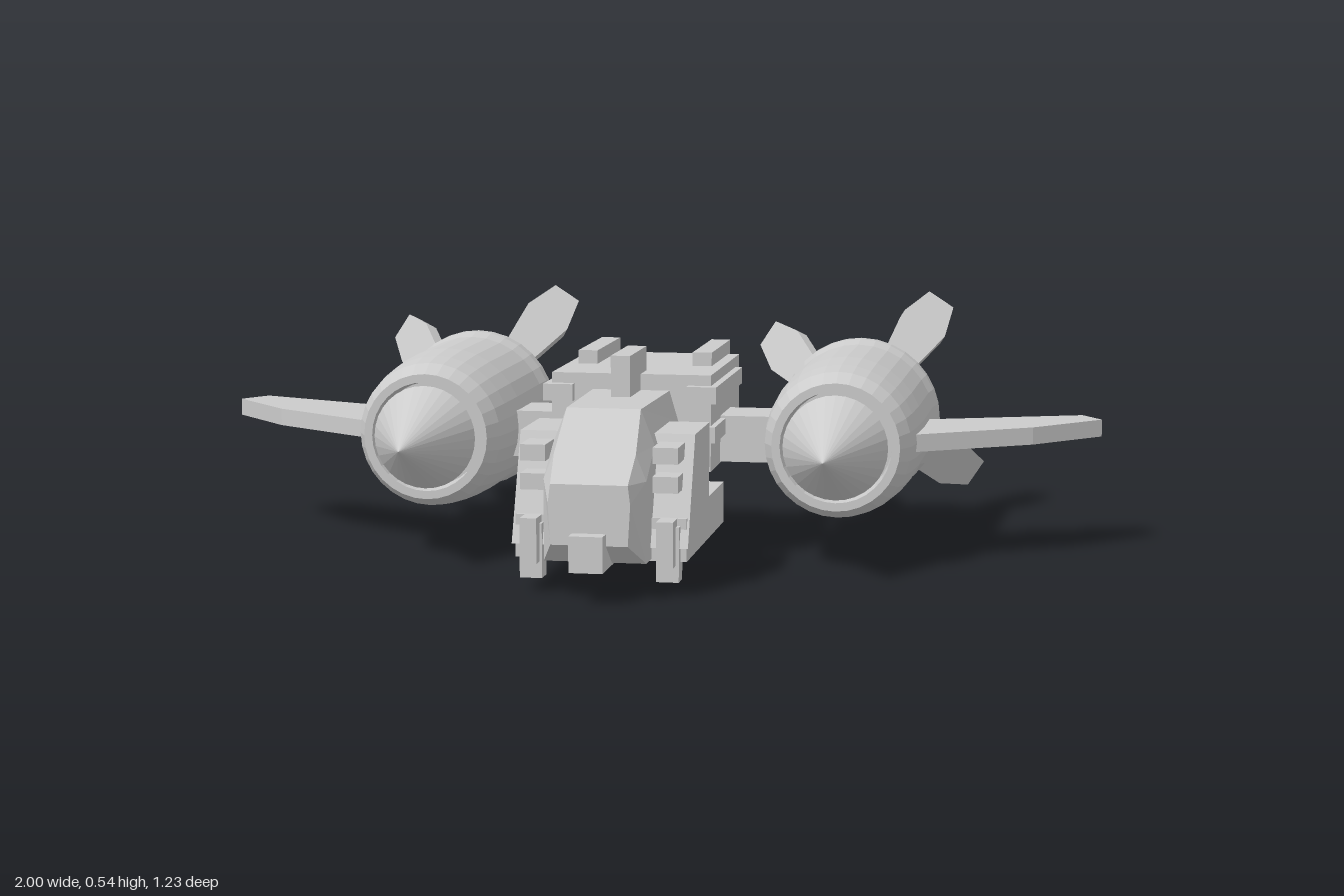
import * as THREE from 'three';

const mat = new THREE.MeshStandardMaterial({ color: 0xcccccc, flatShading: true, side: THREE.DoubleSide });
const ENGINE_X = 0.45, ENGINE_Y = 0.266;

function add(parent, name, geometry) {
  const mesh = new THREE.Mesh(geometry, mat);
  mesh.name = name;
  parent.add(mesh);
  return mesh;
}

// Box from its lower and upper limits
function box(parent, name, [x0, x1], [y0, y1], [z0, z1]) {
  const mesh = add(parent, name, new THREE.BoxGeometry(x1 - x0, y1 - y0, z1 - z0));
  mesh.position.set((x0 + x1) / 2, (y0 + y1) / 2, (z0 + z1) / 2);
  return mesh;
}

// Plate cut from an outline, centred on its thickness
function plate(points, depth) {
  const shape = new THREE.Shape(points.map(([a, b]) => new THREE.Vector2(a, b)));
  return new THREE.ExtrudeGeometry(shape, { depth, bevelEnabled: false }).translate(0, 0, -depth / 2);
}

// Solid skinned over equal-length cross-sections, capped at both ends
function loft(sections) {
  const n = sections[0].length, pos = sections.flat(2), index = [];
  for (let s = 0; s < sections.length - 1; s++) {
    for (let i = 0; i < n; i++) {
      const a = s * n + i, b = s * n + (i + 1) % n;
      index.push(a, b, b + n, a, b + n, a + n);
    }
  }
  const last = (sections.length - 1) * n;
  for (let i = 1; i < n - 1; i++) {
    index.push(0, i + 1, i, last, last + i, last + i + 1);
  }
  const g = new THREE.BufferGeometry();
  g.setAttribute('position', new THREE.Float32BufferAttribute(pos, 3));
  g.setIndex(index);
  const flat = g.toNonIndexed();
  flat.computeVertexNormals();
  return flat;
}

function createEngine() {
  const engine = new THREE.Group();
  engine.name = 'engine';

  // Shell: recessed intake, barrel, rear collar and hollow nozzle
  const profile = [
    [0, -0.36], [0.1, -0.36], [0.122, -0.475], [0.13, -0.475], [0.156, -0.42], [0.16, -0.38],
    [0.176, -0.37], [0.181, -0.35], [0.181, -0.32], [0.173, -0.28], [0.172, -0.05],
    [0.166, 0.05], [0.158, 0.115], [0.138, 0.157], [0.12, 0.157], [0.115, 0.1], [0, 0.1],
  ].map(([r, z]) => new THREE.Vector2(r, z));
  add(engine, 'engineShell', new THREE.LatheGeometry(profile, 32).rotateX(Math.PI / 2));

  // Pointed intake cone
  const cone = add(engine, 'intakeCone', new THREE.ConeGeometry(0.113, 0.222, 32).rotateX(Math.PI / 2));
  cone.position.z = 0.274;
  const stem = add(engine, 'coneStem', new THREE.CylinderGeometry(0.09, 0.09, 0.08, 32).rotateX(Math.PI / 2));
  stem.position.z = 0.13;

  // Four petal fins splayed outward around the nozzle
  const petal = plate([
    [-0.03, -0.06], [0.03, -0.06], [0.042, 0.02], [0.056, 0.13], [0.034, 0.225],
    [-0.034, 0.225], [-0.056, 0.13], [-0.042, 0.02],
  ], 0.03);
  for (let i = 0; i < 4; i++) {
    const pivot = new THREE.Group();
    pivot.name = 'tailFin';
    pivot.rotation.z = THREE.MathUtils.degToRad(57 - 90 + i * 90);
    const fin = add(pivot, 'finBlade', petal);
    fin.position.set(0, 0.147, -0.42);
    fin.rotation.x = THREE.MathUtils.degToRad(-52);
    engine.add(pivot);
  }
  return engine;
}

export function createModel() {
  const model = new THREE.Group();
  model.name = 'spacecraft';

  // Cockpit: shouldered cross-sections tapering to the nose
  const section = (z, bottom, shoulder, top, wBottom, wMid, wTop) => [
    [-wBottom, bottom, z], [wBottom, bottom, z], [wMid, shoulder, z],
    [wTop, top, z], [-wTop, top, z], [-wMid, shoulder, z],
  ];
  add(model, 'cockpit', loft([
    section(0.08, 0.07, 0.3, 0.375, 0.107, 0.107, 0.085),
    section(0.425, 0.07, 0.3, 0.375, 0.107, 0.107, 0.078),
    section(0.52, 0.07, 0.24, 0.294, 0.107, 0.107, 0.085),
    section(0.583, 0.115, 0.2, 0.24, 0.08, 0.085, 0.08),
  ]));
  box(model, 'noseSensor', [-0.035, 0.035], [0.065, 0.14], [0.5, 0.62]);

  // Main hull and underside
  box(model, 'rearHull', [-0.175, 0.175], [0.2, 0.41], [-0.294, 0.117]);
  box(model, 'bellySlab', [-0.18, 0.18], [0.065, 0.155], [-0.035, 0.46]);
  box(model, 'hullKeel', [-0.11, 0.11], [0.14, 0.22], [-0.03, 0.2]);
  box(model, 'roofBlock', [-0.021, 0.021], [0.37, 0.463], [0.045, 0.24]);

  const pod = plate([[0.475, 0.095], [0.385, 0.32], [0.2, 0.32], [0.2, 0.095]], 0.095).rotateY(-Math.PI / 2);
  const wing = plate([[0.5, 0.075], [0.59, 0.075], [0.855, -0.096], [1, -0.25], [0.955, -0.317], [0.62, -0.187], [0.5, -0.14]], 0.038)
    .rotateX(Math.PI / 2);

  for (const side of [1, -1]) {
    const span = (a, b) => (side > 0 ? [a, b] : [-b, -a]);

    // Hull rails
    box(model, 'roofRail', span(0.107, 0.15), [0.38, 0.44], [-0.32, -0.05]);
    box(model, 'upperSideRail', span(0.125, 0.19), [0.35, 0.387], [-0.235, 0.14]);
    box(model, 'lowerSideRail', span(0.125, 0.187), [0.265, 0.3], [-0.16, 0.135]);

    // Armoured side pod with slats and a lower gun
    add(model, 'sidePod', pod).position.x = side * 0.1375;
    for (const y of [0.21, 0.27]) box(model, 'podSlat', span(0.112, 0.165), [y, y + 0.034], [0.36, 0.48]);
    box(model, 'lowerGun', span(0.12, 0.167), [0.025, 0.14], [0.437, 0.48]);
    box(model, 'gunHousing', span(0.125, 0.16), [0.06, 0.155], [0.4, 0.51]);

    // Engine, its strut and the outer wing
    box(model, 'engineStrut', span(0.15, 0.32), [0.203, 0.305], [-0.16, -0.016]);
    const engine = createEngine();
    engine.position.set(side * ENGINE_X, ENGINE_Y, 0);
    model.add(engine);
    const blade = add(model, 'wing', wing);
    blade.position.y = ENGINE_Y;
    if (side < 0) blade.rotation.z = Math.PI;
  }
  return model;
}
